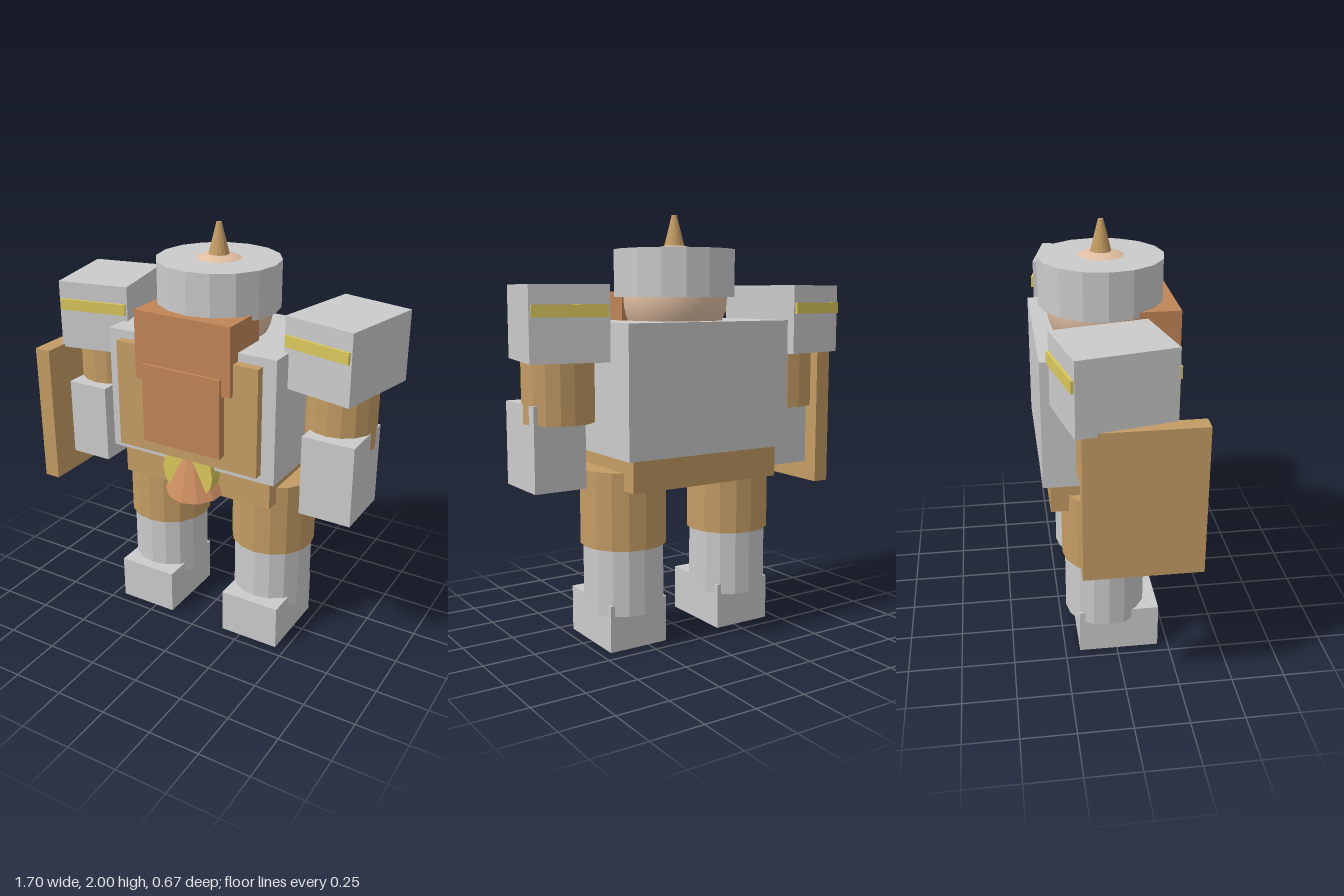
import * as THREE from 'three';

const material = (color, flat = true) => new THREE.MeshStandardMaterial({ color, flatShading: flat });
const grey = material(0xcccccc);
const tan = material(0xc49c64);
const rust = material(0xc08556);
const copper = material(0xcf9062);
const gold = material(0xdac75c);
const skin = material(0xe0bea2, false);

export function createModel() {
  const model = new THREE.Group();
  model.name = 'armouredFigure';

  const add = (name, geometry, mat, x, y, z, parent = model) => {
    const mesh = new THREE.Mesh(geometry, mat);
    mesh.name = name;
    mesh.position.set(x, y, z);
    parent.add(mesh);
    return mesh;
  };
  // Box given by its lower and upper limits on each axis
  const block = (name, mat, [x0, x1], [y0, y1], [z0, z1], parent) =>
    add(name, new THREE.BoxGeometry(x1 - x0, y1 - y0, z1 - z0), mat,
      (x0 + x1) / 2, (y0 + y1) / 2, (z0 + z1) / 2, parent);
  // Upright faceted cylinder between two heights
  const drum = (name, mat, rTop, rBottom, x, y0, y1, z, parent) =>
    add(name, new THREE.CylinderGeometry(rTop, rBottom, y1 - y0, 16), mat, x, (y0 + y1) / 2, z, parent);

  // Body
  block('torso', grey, [-0.437, 0.437], [0.91, 1.51], [-0.335, 0.24]);
  block('chestPlate', tan, [-0.37, 0.37], [0.95, 1.47], [0.2, 0.282]);
  block('pelvis', tan, [-0.397, 0.397], [0.76, 0.96], [-0.3, 0.2]);

  // Head, helmet and spike
  add('head', new THREE.SphereGeometry(0.25, 32, 20), skin, 0, 1.613, -0.02);
  drum('helmet', grey, 0.288, 0.288, 0, 1.62, 1.84, -0.02);
  drum('helmetSpike', tan, 0.012, 0.05, 0, 1.85, 2, -0.02);

  // Beard in two overlapping slabs
  block('upperBeard', rust, [-0.247, 0.247], [1.32, 1.645], [0.05, 0.308]);
  block('lowerBeard', rust, [-0.203, 0.203], [1.02, 1.4], [0.24, 0.323]);

  // Belt buckle with the tilted cone hanging in front
  const buckle = add('beltBuckle', new THREE.CylinderGeometry(0.135, 0.135, 0.09, 16), gold, 0, 0.88, 0.225);
  buckle.rotation.x = Math.PI / 2;
  const cone = new THREE.ConeGeometry(0.155, 0.3, 12);
  cone.translate(0, 0.15, 0);
  add('beltCone', cone, copper, 0, 0.775, 0.18).rotation.x = 0.2;

  // Arms and legs, one of each per side
  for (const side of [-1, 1]) {
    const name = side > 0 ? 'left' : 'right';

    const arm = new THREE.Group();
    arm.name = name + 'Arm';
    model.add(arm);
    drum('upperArm', tan, 0.163, 0.163, side * 0.628, 1.07, 1.4, -0.04, arm);
    const fx = side * 0.66;
    block('forearm', grey, [fx - 0.125, fx + 0.125], [0.77, 1.155], [-0.12, 0.175], arm);

    // Shoulder guard turned outward, trimmed front and back
    const guard = new THREE.Group();
    guard.name = 'shoulderGuard';
    guard.position.set(side * 0.631, 1.51, -0.05);
    guard.rotation.y = -side * 0.21;
    arm.add(guard);
    add('guardBlock', new THREE.BoxGeometry(0.35, 0.33, 0.436), grey, 0, 0, 0, guard);
    for (const z of [-0.217, 0.217])
      add('guardTrim', new THREE.BoxGeometry(0.333, 0.053, 0.028), gold, 0, 0.055, z, guard);

    const leg = new THREE.Group();
    leg.name = name + 'Leg';
    model.add(leg);
    drum('thigh', tan, 0.203, 0.203, side * 0.3, 0.48, 0.84, -0.042, leg);
    drum('shin', grey, 0.19, 0.19, side * 0.3, 0.17, 0.52, -0.042, leg);
    const x = side * 0.3;
    block('foot', grey, [x - 0.15, x + 0.15], [0, 0.22], [-0.18, 0.2], leg);
  }

  // Shield on the right arm
  block('shield', tan, [-0.828, -0.748], [0.675, 1.36], [-0.2, 0.32]);

  return model;
}
